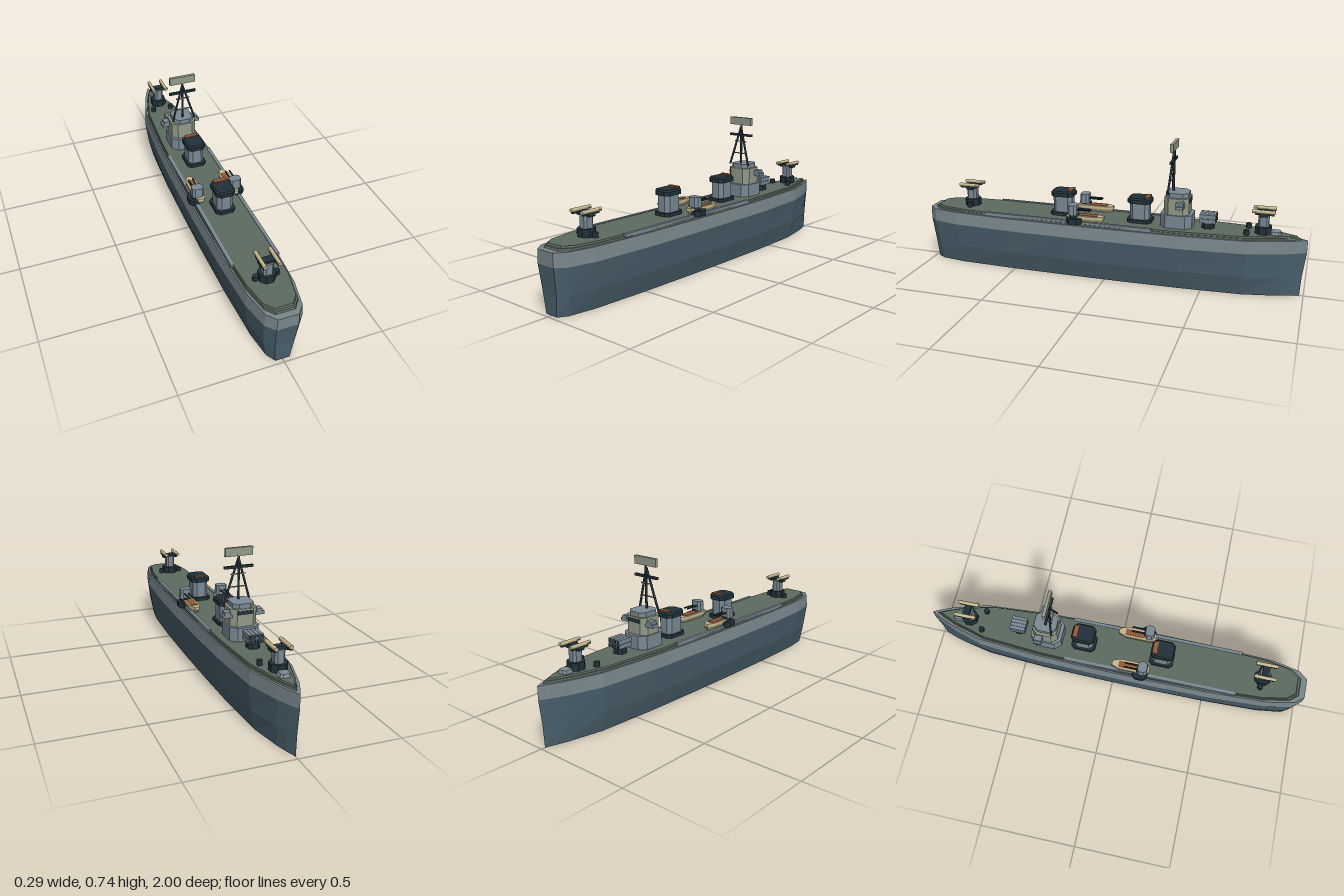
import * as THREE from 'three';

const colours = {
  hullBlue: 0x4a606d, bandGrey: 0x78868b, deckGreen: 0x5d6b60, steelGrey: 0x7a8a95,
  oliveGrey: 0x929a88, darkSteel: 0x22323a, tan: 0xc6b98f, rust: 0x96593a,
};
const mats = {};

// Plan outline of the hull, half breadth and z, bow to stern
const half = [[0.026, -0.95], [0.052, -0.89], [0.104, -0.72], [0.129, -0.4], [0.137, -0.1],
  [0.14, 0.2], [0.136, 0.52], [0.121, 0.82], [0.092, 0.955], [0.053, 1]];
const outline = [[0, -1], ...half, ...half.map(([x, z]) => [-x, z]).reverse()];

// Rectangle with cut corners
function octagon(w, d, c) {
  const a = w / 2, b = d / 2;
  return [[a - c, -b], [a, -b + c], [a, b - c], [a - c, b], [-a + c, b], [-a, b - c], [-a, -b + c], [-a + c, -b]];
}

// Flat-faced solid through scaled copies of a ring; levels are [y, scaleX, scaleZ]
function loft(ring, levels, capped = true) {
  const pos = [], n = ring.length;
  const rows = levels.map(([y, sx, sz]) => ring.map(([x, z]) => [x * sx, y, z * sz]));
  const tri = (...p) => p.forEach((v) => pos.push(...v));
  for (let i = 0; i < n; i++) {
    const j = (i + 1) % n;
    for (let k = 0; k + 1 < rows.length; k++) {
      const lo = rows[k], up = rows[k + 1];
      tri(lo[i], up[i], lo[j]);
      tri(up[i], up[j], lo[j]);
    }
    if (capped) {
      const lo = rows[0], up = rows[rows.length - 1];
      tri([0, up[0][1], 0], up[j], up[i]);
      tri([0, lo[0][1], 0], lo[i], lo[j]);
    }
  }
  const g = new THREE.BufferGeometry();
  g.setAttribute('position', new THREE.Float32BufferAttribute(pos, 3));
  g.computeVertexNormals();
  return g;
}

function add(parent, name, geo, mat, x = 0, y = 0, z = 0) {
  const m = new THREE.Mesh(geo, mats[mat]);
  m.name = name;
  m.position.set(x, y, z);
  parent.add(m);
  return m;
}
const box = (p, name, mat, w, h, d, x, y, z) => add(p, name, new THREE.BoxGeometry(w, h, d), mat, x, y, z);
// Cut-cornered block standing between y0 and y1
const block = (p, name, mat, w, d, c, y0, y1, x = 0, z = 0, top = 1) =>
  add(p, name, loft(octagon(w, d, c), [[y0, 1, 1], [y1, top, top]]), mat, x, 0, z);

// Round bar between two points
function bar(p, name, mat, a, b, r, sides = 8) {
  const A = new THREE.Vector3(...a), B = new THREE.Vector3(...b);
  const m = add(p, name, new THREE.CylinderGeometry(r, r, A.distanceTo(B), sides), mat);
  m.position.copy(A).add(B).multiplyScalar(0.5);
  m.quaternion.setFromUnitVectors(new THREE.Vector3(0, 1, 0), B.sub(A).normalize());
  return m;
}

function group(parent, name, x = 0, y = 0, z = 0) {
  const g = new THREE.Group();
  g.name = name;
  g.position.set(x, y, z);
  parent.add(g);
  return g;
}

function addHull(ship) {
  const g = group(ship, 'hull');
  add(g, 'lowerHull', loft(outline, [[0, 0.66, 0.98], [0.1, 0.87, 0.985], [0.228, 1, 1]]), 'hullBlue');
  add(g, 'upperBand', loft(outline, [[0.228, 1, 1], [0.293, 0.94, 1]]), 'bandGrey');
  add(g, 'deckEdge', loft(outline, [[0.29, 0.89, 0.97], [0.302, 0.88, 0.965]]), 'deckGreen');
  add(g, 'deck', loft(outline, [[0.3, 0.85, 0.955], [0.311, 0.84, 0.95]]), 'deckGreen');
  for (const s of [-1, 1]) box(g, 'sideStrip', 'steelGrey', 0.016, 0.016, 0.9, s * 0.112, 0.306, 0.2);
}

// Twin-rail launcher on a pedestal
function addLauncher(ship, z, dir) {
  const g = group(ship, 'launcher', 0, 0, z);
  block(g, 'launcherBase', 'darkSteel', 0.078, 0.078, 0.022, 0.31, 0.348);
  block(g, 'pedestal', 'steelGrey', 0.048, 0.052, 0.01, 0.345, 0.41);
  box(g, 'crossArm', 'darkSteel', 0.085, 0.02, 0.035, 0, 0.413, 0);
  for (const s of [-1, 1]) {
    const x = s * 0.035;
    box(g, 'rail', 'darkSteel', 0.014, 0.01, 0.09, x, 0.418, dir * 0.005);
    bar(g, 'rocket', 'tan', [x, 0.428, -0.055], [x, 0.428, 0.055], 0.0095);
    box(g, 'fin', 'tan', 0.026, 0.004, 0.014, x, 0.428, -dir * 0.042);
    add(g, 'locker', new THREE.CylinderGeometry(0.014, 0.014, 0.025, 8), 'darkSteel',
      s * 0.052, 0.322, dir < 0 ? 0.075 : -0.005);
  }
}

function addFunnel(ship, z) {
  const g = group(ship, 'funnel', 0, 0, z);
  block(g, 'funnelBase', 'darkSteel', 0.1, 0.125, 0.018, 0.31, 0.328);
  block(g, 'funnelBody', 'steelGrey', 0.08, 0.1, 0.018, 0.325, 0.42);
  block(g, 'funnelCap', 'darkSteel', 0.098, 0.12, 0.02, 0.412, 0.432);
  add(g, 'funnelRim', loft(octagon(0.098, 0.12, 0.02), [[0.432, 1, 1], [0.44, 0.86, 0.88]]), 'darkSteel');
  box(g, 'exhaustVent', 'rust', 0.064, 0.009, 0.022, 0, 0.442, -0.04);
}

function addBridge(ship) {
  const g = group(ship, 'bridge', 0, 0, -0.36);
  block(g, 'lowerHouse', 'steelGrey', 0.146, 0.16, 0.03, 0.31, 0.378);
  block(g, 'upperHouse', 'oliveGrey', 0.132, 0.125, 0.026, 0.376, 0.463);
  block(g, 'roofHouse', 'steelGrey', 0.104, 0.115, 0.024, 0.46, 0.486);
  box(g, 'bridgeWing', 'steelGrey', 0.21, 0.015, 0.04, 0, 0.428, -0.025);
  for (const s of [-1, 1]) box(g, 'wingCab', 'steelGrey', 0.028, 0.024, 0.04, s * 0.08, 0.438, -0.025);
  box(g, 'windowBand', 'darkSteel', 0.076, 0.018, 0.006, 0, 0.445, -0.062);
}

function addMast(ship) {
  const g = group(ship, 'mast', 0, 0, -0.332);
  bar(g, 'pole', 'darkSteel', [0, 0.48, -0.003], [0, 0.698, -0.003], 0.006);
  for (const s of [-1, 1]) bar(g, 'leg', 'darkSteel', [s * 0.061, 0.48, 0.014], [0, 0.685, 0], 0.0055);
  box(g, 'yard', 'darkSteel', 0.144, 0.012, 0.012, 0, 0.641, 0);
  box(g, 'lowerBrace', 'oliveGrey', 0.074, 0.005, 0.006, 0, 0.543, 0.008);
  box(g, 'upperBrace', 'oliveGrey', 0.074, 0.005, 0.006, 0, 0.606, 0.003);
  box(g, 'antennaPanel', 'oliveGrey', 0.137, 0.04, 0.016, 0, 0.715, -0.002);
}

function addBoxLauncher(ship) {
  const g = group(ship, 'boxLauncher', 0, 0, -0.515);
  block(g, 'turntable', 'darkSteel', 0.06, 0.06, 0.016, 0.31, 0.345);
  for (let row = 0; row < 2; row++) {
    for (let col = 0; col < 4; col++) {
      const x = (col - 1.5) * 0.0185, y = 0.352 + row * 0.023;
      box(g, 'tube', 'steelGrey', 0.0165, 0.02, 0.08, x, y, 0);
      box(g, 'tubeMouth', 'darkSteel', 0.011, 0.014, 0.003, x, y, -0.04);
    }
  }
  box(g, 'tubeFrame', 'darkSteel', 0.068, 0.038, 0.07, 0, 0.363, 0);
}

// Boat with a gun mount beside it; s is the side of the ship
function addSideMount(ship, s) {
  const g = group(ship, s > 0 ? 'leftMount' : 'rightMount', s * 0.09, 0, 0.1);
  const plan = [[0.012, -0.1], [0.027, -0.06], [0.027, 0.07], [0.016, 0.095],
    [-0.016, 0.095], [-0.027, 0.07], [-0.027, -0.06], [-0.012, -0.1]];
  add(g, 'boat', loft(plan, [[0.311, 0.65, 0.88], [0.328, 1, 1], [0.343, 1, 1]]), 'tan');
  box(g, 'boatSeat', 'rust', 0.032, 0.004, 0.1, 0, 0.344, -0.015);
  block(g, 'gunPlatform', 'darkSteel', 0.066, 0.08, 0.02, 0.305, 0.332, s * 0.022, 0.05);
  block(g, 'gunRing', 'darkSteel', 0.05, 0.05, 0.014, 0.33, 0.352, s * 0.012, 0.055);
  block(g, 'gunHouse', 'steelGrey', 0.062, 0.05, 0.012, 0.348, 0.398, s * 0.01, 0.06, 0.92);
  for (const t of [-1, 1]) {
    const x = s * 0.01 + t * 0.011;
    bar(g, 'gunBarrel', 'darkSteel', [x, 0.374, 0.045], [x, 0.374, -0.035], 0.0045);
  }
}

export function createModel() {
  for (const [name, hex] of Object.entries(colours)) {
    mats[name] = new THREE.MeshStandardMaterial({ color: hex });
    mats[name].name = name;
  }
  const ship = new THREE.Group();
  ship.name = 'warship';
  addHull(ship);
  addLauncher(ship, 0.77, 1);
  addLauncher(ship, -0.785, -1);
  // Low breakwater on the foredeck
  add(ship, 'breakwater', loft(octagon(0.056, 0.06, 0.012), [[0.31, 1, 1], [0.326, 0.8, 0.8]]), 'steelGrey', 0, 0, -0.845);
  addFunnel(ship, 0.245);
  addFunnel(ship, -0.167);
  addBridge(ship);
  addMast(ship);
  addBoxLauncher(ship);
  for (const s of [-1, 1]) addSideMount(ship, s);
  return ship;
}
